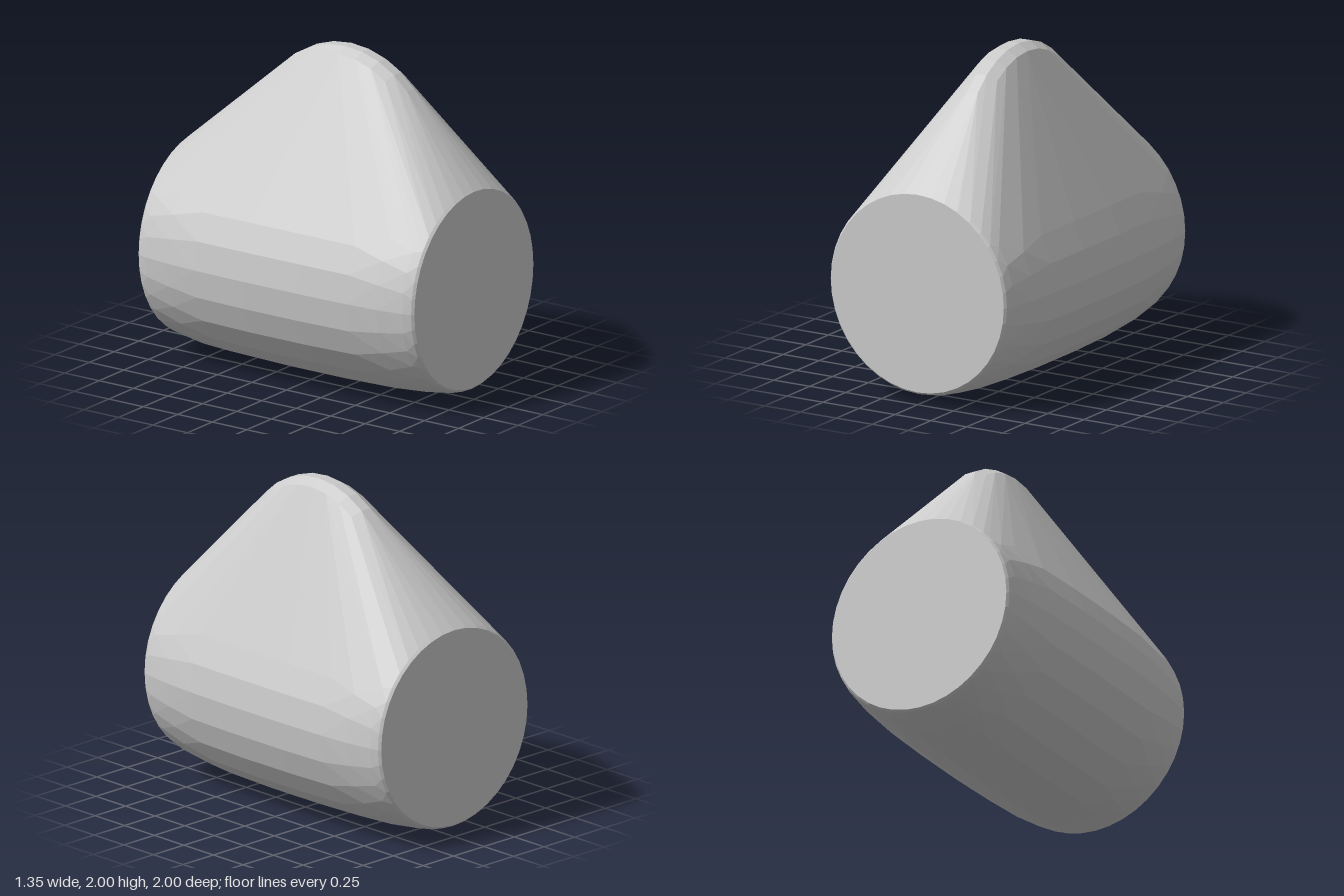
import * as THREE from 'three';
import { ConvexGeometry } from 'three/addons/geometries/ConvexGeometry.js';

export function createModel() {
  const group = new THREE.Group();
  const points = [];

  // Bulging barrel: rings of [z, radius, sides], mirrored front to back
  const axisY = 0.68;
  const rings = [
    [1, 0.605, 40], [0.985, 0.618, 40], [0.93, 0.634, 32],
    [0.76, 0.658, 28], [0.55, 0.672, 24], [0.2, 0.68, 24],
  ];
  for (const [z, radius, sides] of rings) {
    for (const side of [-1, 1]) {
      for (let i = 0; i < sides; i++) {
        const a = (i / sides) * Math.PI * 2;
        points.push(new THREE.Vector3(
          Math.sin(a) * radius * 0.993, axisY - Math.cos(a) * radius, z * side));
      }
    }
  }

  // Rounded crest: an arc along z with a softened narrow section of [x, radius]
  const section = [[-0.03, 0.585], [0.03, 0.62], [0.1, 0.62], [0.16, 0.58]];
  const steps = 8;
  for (let i = 0; i <= steps; i++) {
    const a = THREE.MathUtils.degToRad(-47 + (94 * i) / steps);
    for (const [x, r] of section) {
      points.push(new THREE.Vector3(x, 1.38 + Math.cos(a) * r, 0.04 + Math.sin(a) * r));
    }
  }

  // One taut skin over barrel and crest
  const body = new THREE.Mesh(
    new ConvexGeometry(points),
    new THREE.MeshStandardMaterial({ color: 0xcccccc, flatShading: true }));
  body.name = 'body';
  group.add(body);
  return group;
}
